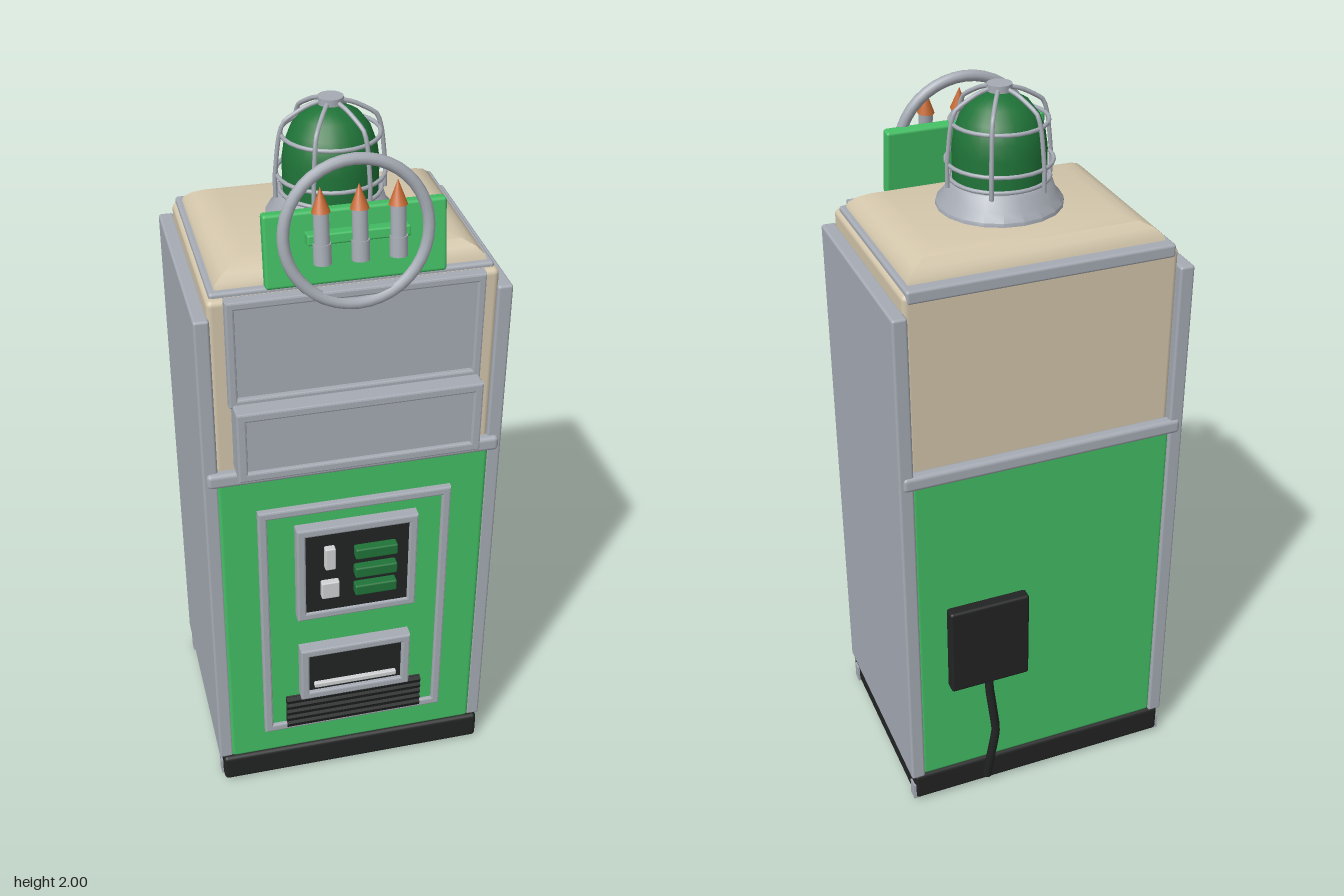
import * as THREE from 'three';
import { toCreasedNormals } from 'three/addons/utils/BufferGeometryUtils.js';
import { RoundedBoxGeometry } from 'three/addons/geometries/RoundedBoxGeometry.js';

const paint = (name, color) => {
  const m = new THREE.MeshStandardMaterial({ color });
  m.name = name;
  return m;
};

export function createModel() {
  const root = new THREE.Group();
  const steel = paint('steel grey', 0xa6abb4);
  const green = paint('panel green', 0x43be64);
  const glass = paint('lamp green', 0x1f7338);
  const cream = paint('cream', 0xd3c6ab);
  const black = paint('black', 0x222323);
  const copper = paint('copper orange', 0xc66a33);
  const pale = paint('pale grey', 0xd0d2d4);

  const add = (name, geo, mat, parent = root) => {
    const mesh = new THREE.Mesh(geo, mat);
    mesh.name = name;
    parent.add(mesh);
    return mesh;
  };
  // Box given by its limits, with optional rounded edges
  const box = (name, mat, [x0, x1], [y0, y1], [z0, z1], r = 0, parent = root) => {
    const s = [x1 - x0, y1 - y0, z1 - z0];
    const geo = r ? new RoundedBoxGeometry(...s, 2, r) : new THREE.BoxGeometry(...s);
    const mesh = add(name, geo, mat, parent);
    mesh.position.set((x0 + x1) / 2, (y0 + y1) / 2, (z0 + z1) / 2);
    return mesh;
  };
  // Flat rectangular frame in the xy plane, from z0 to z1
  const frame = (name, mat, [x0, x1], [y0, y1], [z0, z1], w) => {
    const b = 0.005;
    const rect = (S, i) => new S([[x0 + i, y0 + i], [x1 - i, y0 + i], [x1 - i, y1 - i], [x0 + i, y1 - i]]
      .map(p => new THREE.Vector2(...p)));
    const shape = rect(THREE.Shape, b);
    shape.holes.push(rect(THREE.Path, w - b));
    const geo = new THREE.ExtrudeGeometry(shape, {
      depth: z1 - z0 - 2 * b, bevelSize: b, bevelThickness: b, bevelSegments: 2,
    });
    const mesh = add(name, geo, mat);
    mesh.position.z = z0 + b;
    return mesh;
  };
  // Rectangular loft through [y, halfX, halfZ] sections, closed on top
  const loft = (sections) => {
    const pos = [];
    const ring = ([y, hx, hz]) => [[hx, y, hz], [hx, y, -hz], [-hx, y, -hz], [-hx, y, hz]];
    const quad = (a, b, c, d) => pos.push(...a, ...b, ...c, ...a, ...c, ...d);
    for (let i = 0; i + 1 < sections.length; i++) {
      const lo = ring(sections[i]), hi = ring(sections[i + 1]);
      for (let k = 0; k < 4; k++) quad(lo[k], lo[(k + 1) % 4], hi[(k + 1) % 4], hi[k]);
    }
    quad(...ring(sections.at(-1)));
    const g = new THREE.BufferGeometry();
    g.setAttribute('position', new THREE.Float32BufferAttribute(pos, 3));
    return toCreasedNormals(g, 0.6);
  };
  const lathe = (points, n = 24) => toCreasedNormals(
    new THREE.LatheGeometry(points.map(p => new THREE.Vector2(...p)), n), 0.7);

  // Base with corner clips and feet
  box('base', black, [-0.39, 0.39], [0.008, 0.095], [-0.315, 0.295], 0.012);
  for (const sx of [-1, 1]) for (const z of [-0.295, 0.25]) {
    box('baseClip', steel, [sx * 0.385 - 0.01, sx * 0.385 + 0.01], [0.008, 0.06], [z - 0.015, z + 0.015]);
    add('foot', new THREE.CylinderGeometry(0.03, 0.03, 0.014, 16), steel)
      .position.set(sx * 0.345, 0.007, z < 0 ? -0.27 : 0.25);
  }

  // Cabinet
  box('lowerCabinet', green, [-0.365, 0.365], [0.09, 1.1], [-0.308, 0.285], 0.012);
  box('upperCabinet', cream, [-0.365, 0.365], [1.08, 1.625], [-0.292, 0.273], 0.015);
  for (const s of [-1, 1])
    box('sidePanel', steel, [s * 0.38 - 0.02, s * 0.38 + 0.02], [0.09, 1.58], [-0.315, 0.281], 0.007);
  box('frontRail', steel, [-0.39, 0.39], [1.09, 1.133], [0.255, 0.295], 0.012);
  box('rearRail', steel, [-0.39, 0.39], [1.09, 1.133], [-0.321, -0.285], 0.012);

  // Roof
  box('roofTrim', steel, [-0.355, 0.355], [1.6, 1.637], [-0.294, 0.255], 0.008);
  add('roof', loft([[1.63, 0.342, 0.252], [1.65, 0.336, 0.246], [1.668, 0.315, 0.23],
    [1.682, 0.285, 0.208], [1.69, 0.25, 0.18]]), cream).position.z = -0.012;

  // Upper front panel and projecting tray
  box('displayPanel', steel, [-0.315, 0.315], [1.345, 1.62], [0.255, 0.285]);
  frame('displayFrame', steel, [-0.325, 0.322], [1.335, 1.632], [0.265, 0.3], 0.022);
  box('trayBox', steel, [-0.317, 0.317], [1.14, 1.345], [0.265, 0.335], 0.006);
  frame('trayFrame', steel, [-0.317, 0.317], [1.14, 1.345], [0.325, 0.347], 0.025);

  // Raised control panel on the front
  box('controlPanel', green, [-0.255, 0.252], [0.2, 0.985], [0.27, 0.293]);
  frame('controlPanelFrame', steel, [-0.265, 0.262], [0.188, 0.997], [0.275, 0.304], 0.024);

  // Screen with gauges and green buttons
  box('screen', black, [-0.15, 0.15], [0.64, 0.92], [0.28, 0.319]);
  frame('screenFrame', steel, [-0.167, 0.167], [0.622, 0.937], [0.285, 0.326], 0.024);
  box('lever', pale, [-0.092, -0.063], [0.8, 0.872], [0.315, 0.337], 0.004);
  box('knob', pale, [-0.102, -0.052], [0.7, 0.755], [0.315, 0.337], 0.004);
  for (const y of [0.845, 0.78, 0.718])
    box('button', glass, [-0.01, 0.107], [y - 0.017, y + 0.017], [0.315, 0.345], 0.005);

  // Dispensing slot and vents
  box('slot', black, [-0.145, 0.14], [0.335, 0.495], [0.28, 0.318]);
  frame('slotFrame', steel, [-0.161, 0.157], [0.322, 0.508], [0.285, 0.33], 0.024);
  box('slotLip', pale, [-0.122, 0.118], [0.362, 0.378], [0.315, 0.33], 0.003);
  box('ventBacking', black, [-0.2, 0.2], [0.2, 0.31], [0.285, 0.298]);
  for (let i = 0; i < 5; i++) {
    const slat = box('ventSlat', black, [-0.2, 0.2], [0.2 + i * 0.023, 0.217 + i * 0.023], [0.288, 0.308]);
    slat.rotation.x = 0.35;
  }

  // Power box and cable on the back
  box('powerBox', black, [0.05, 0.28], [0.405, 0.68], [-0.34, -0.3], 0.008);
  const cable = new THREE.CatmullRomCurve3([[0.165, 0.43, -0.326], [0.165, 0.37, -0.328], [0.15, 0.22, -0.336],
    [0.165, 0.1, -0.328], [0.17, 0.03, -0.318]].map(p => new THREE.Vector3(...p)), false, 'catmullrom', 0.2);
  add('powerCable', new THREE.TubeGeometry(cable, 24, 0.013, 8), black);

  // Caged beacon lamp
  const lamp = new THREE.Group();
  lamp.name = 'beacon';
  lamp.position.z = 0.005;
  root.add(lamp);
  add('lampBase', lathe([[0.165, 1.685], [0.164, 1.7], [0.145, 1.72], [0.135, 1.75], [0.128, 1.757], [0, 1.757]], 20),
    steel, lamp);
  add('lampDome', lathe([[0.12, 1.75], [0.121, 1.84], [0.115, 1.88], [0.1, 1.92], [0.075, 1.953],
    [0.04, 1.972], [0, 1.978]]), glass, lamp);
  for (const [y, r] of [[1.808, 0.136], [1.91, 0.123], [1.765, 0.128]]) {
    const ring = add('cageRing', new THREE.TorusGeometry(r, 0.0055, 8, 28), steel, lamp);
    ring.rotation.x = Math.PI / 2;
    ring.position.y = y;
  }
  const ribPath = new THREE.CatmullRomCurve3([[0.14, 1.75], [0.14, 1.81], [0.13, 1.9], [0.115, 1.945], [0.06, 1.978],
    [0.02, 1.99]].map(([x, y]) => new THREE.Vector3(x, y, 0)), false, 'catmullrom', 0.3);
  const ribGeo = new THREE.TubeGeometry(ribPath, 20, 0.0058, 8);
  for (let i = 0; i < 6; i++) add('cageRib', ribGeo, steel, lamp).rotation.y = i * Math.PI / 3;
  add('cageCap', new THREE.CylinderGeometry(0.032, 0.032, 0.018, 20), steel, lamp).position.y = 1.991;

  // Tilted emblem: plate, hoop and three rockets
  const crest = new THREE.Group();
  crest.name = 'crest';
  crest.position.set(0, 1.735, 0.256);
  crest.rotation.x = -0.14;
  root.add(crest);
  box('crestPlate', green, [-0.223, 0.223], [-0.092, 0.092], [-0.017, 0.017], 0.008, crest);
  add('crestHoop', new THREE.TorusGeometry(0.177, 0.015, 10, 40), steel, crest).position.set(0, 0.03, 0.02);
  box('rocketClamp', green, [-0.125, 0.125], [0.018, 0.045], [0.01, 0.05], 0.005, crest);
  for (const x of [-0.092, 0, 0.092]) {
    const rocket = new THREE.Group();
    rocket.name = 'rocket';
    rocket.position.set(x, 0, 0.054);
    crest.add(rocket);
    add('rocketBody', new THREE.CylinderGeometry(0.019, 0.019, 0.13, 16), steel, rocket).position.y = 0.04;
    add('rocketTail', new THREE.CylinderGeometry(0.022, 0.022, 0.05, 16), steel, rocket).position.y = 0;
    add('rocketNose', new THREE.ConeGeometry(0.023, 0.06, 16), copper, rocket).position.y = 0.13;
  }
  return root;
}
